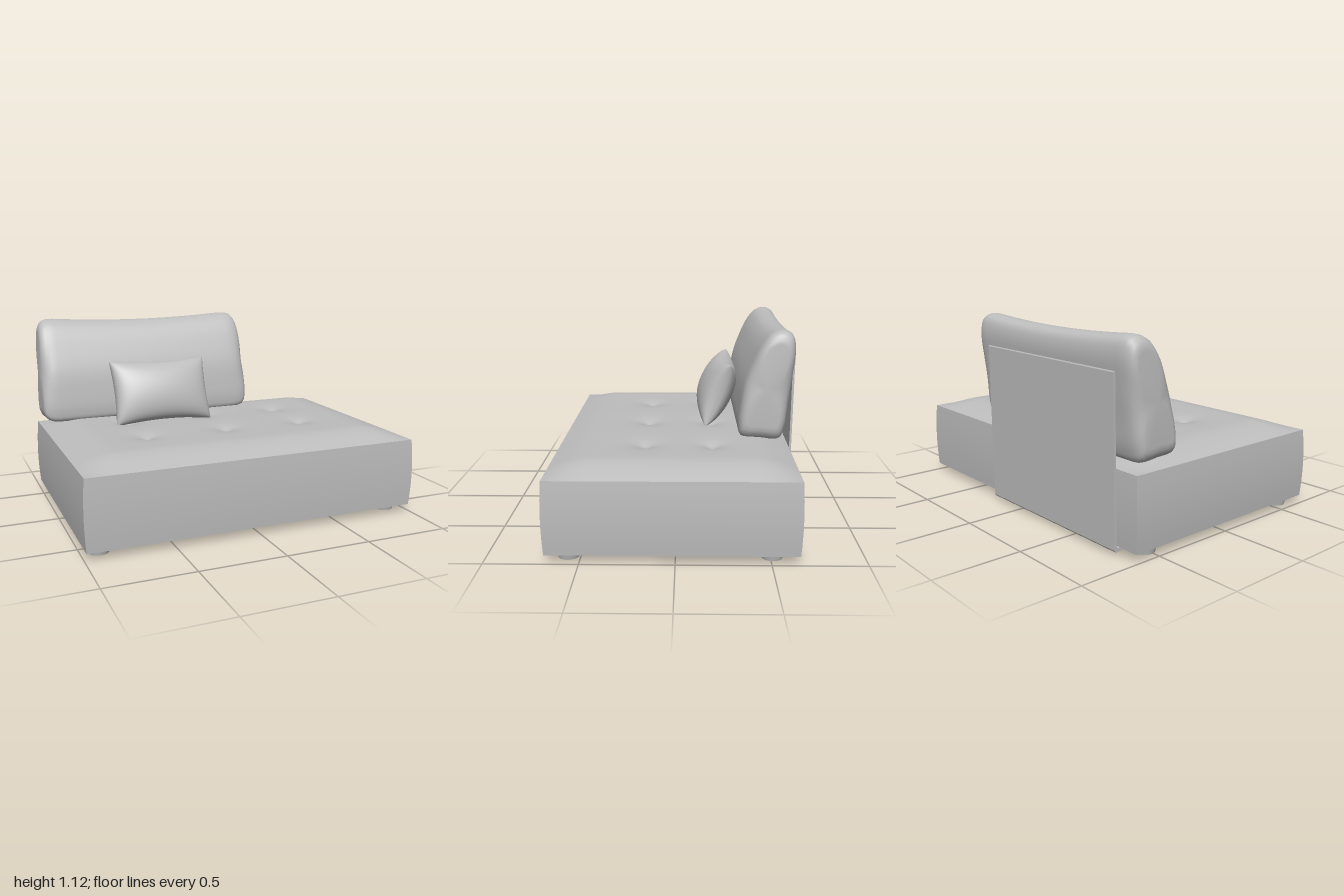
import * as THREE from 'three';
import { mergeGeometries } from 'three/addons/utils/BufferGeometryUtils.js';

const fabric = new THREE.MeshStandardMaterial({ color: 0xbdbdbd });
fabric.name = 'grey fabric';

function part(name, geometry) {
  const mesh = new THREE.Mesh(geometry, fabric);
  mesh.name = name;
  return mesh;
}

// Move every vertex of a geometry by a rule
function reshape(geometry, rule) {
  const p = geometry.attributes.position;
  const v = new THREE.Vector3();
  for (let i = 0; i < p.count; i++) {
    rule(v.fromBufferAttribute(p, i));
    p.setXYZ(i, v.x, v.y, v.z);
  }
  geometry.computeVertexNormals();
  return geometry;
}

// Tufted seat block: slightly bulging sides, domed top with button dimples
function seatGeometry() {
  const tufts = [];
  for (const x of [-0.5, 0, 0.5]) for (const z of [-0.2, 0.18]) tufts.push([x, z]);
  const rise = (d) => Math.sin(Math.min(d / 0.24, 1) * Math.PI / 2);
  return reshape(new THREE.BoxGeometry(2, 2, 2, 100, 8, 70), (v) => {
    const top = v.y > 0.999;
    const bulge = 0.99 + 0.01 * (1 - v.y * v.y);
    const x = v.x * bulge;
    const z = 0.017 + v.z * 0.672 * bulge;
    let y = 0.2475 + v.y * 0.2025;
    if (top) {
      y += 0.058 * rise(1 - Math.abs(v.x)) * rise((1 - Math.abs(v.z)) * 0.67);
      for (const [tx, tz] of tufts) y -= 0.042 * Math.exp(-Math.hypot(x - tx, z - tz) / 0.06);
    }
    v.set(x, y, z);
  });
}

// Back cushion: side profile lofted along x, rounded in at both ends
function backCushionGeometry() {
  const profile = [
    [-0.37, 0.505], [-0.357, 0.56], [-0.367, 0.68], [-0.39, 0.81], [-0.432, 0.93],
    [-0.49, 1.05], [-0.545, 1.112], [-0.61, 1.13], [-0.66, 1.105], [-0.68, 1.03],
    [-0.668, 0.88], [-0.645, 0.7], [-0.624, 0.55], [-0.595, 0.49], [-0.48, 0.49],
  ];
  const curve = new THREE.CatmullRomCurve3(profile.map(([z, y]) => new THREE.Vector3(0, y, z)), true);
  const N = 72;
  const ring = curve.getPoints(N).slice(0, N);
  const centre = new THREE.Vector3(0, 0.79, -0.51);
  const end = [[0, 0.085], [0.004, 0.058], [0.014, 0.034], [0.032, 0.015], [0.06, 0.004], [0.1, 0]];
  const x0 = -0.99, x1 = 0.388;
  const sections = end.map(([d, inset]) => [x0 + d, inset]);
  for (let i = 1; i < 16; i++) sections.push([x0 + 0.1 + (x1 - x0 - 0.2) * i / 16, 0]);
  for (const [d, inset] of [...end].reverse()) sections.push([x1 - d, inset]);

  const pos = [], index = [];
  for (const [x, inset] of sections) {
    const u = (x - (x0 + x1) / 2) / ((x1 - x0) / 2);
    for (const p of ring) {
      const q = p.clone().lerp(centre, inset / p.distanceTo(centre));
      const h = Math.max(0, (q.y - 0.5) / 0.63);
      const sag = 0.03 * (1 - u * u) * h * h;
      pos.push(x - u * 0.017 * h * h, q.y - sag, q.z);
    }
  }
  const last = sections.length - 1;
  for (let i = 0; i < last; i++) {
    for (let j = 0; j < N; j++) {
      const k = (j + 1) % N;
      const a = i * N + j, b = a + N, c = (i + 1) * N + k, d = i * N + k;
      index.push(a, b, c, a, c, d);
    }
  }
  // End caps
  const cap = pos.length / 3;
  pos.push(x0 - 0.002, centre.y, centre.z, x1 + 0.002, centre.y, centre.z);
  for (let j = 0; j < N; j++) {
    const k = (j + 1) % N;
    index.push(cap, j, k, cap + 1, last * N + k, last * N + j);
  }
  const g = new THREE.BufferGeometry();
  g.setAttribute('position', new THREE.Float32BufferAttribute(pos, 3));
  g.setIndex(index);
  g.computeVertexNormals();
  return g;
}

// Throw pillow: two puffed faces meeting at a seam, with pinched sides
function pillowGeometry() {
  const face = reshape(new THREE.PlaneGeometry(2, 2, 36, 30), (v) => {
    const a = v.x * Math.PI / 2, b = v.y * Math.PI / 2;
    const u = Math.sin(a), w = Math.sin(b);
    const puff = Math.pow(Math.max(0, Math.cos(a)), 0.7) * Math.pow(Math.max(0, Math.cos(b)), 0.85);
    v.set(0.313 * u * (1 - 0.05 * (1 - w * w)), 0.205 * w * (1 - 0.1 * (1 - u * u)), 0.112 * puff);
  });
  return mergeGeometries([face, face.clone().rotateY(Math.PI)]);
}

// Back panel with a short lip hooked under the seat
function panelGeometry() {
  const outline = [
    [-0.61, 0.022], [-0.61, 0.04], [-0.658, 0.04], [-0.664, 0.06], [-0.674, 0.94],
    [-0.678, 0.945], [-0.684, 0.945], [-0.687, 0.94], [-0.676, 0.03], [-0.668, 0.02],
  ];
  const shape = new THREE.Shape(outline.map(([z, y]) => new THREE.Vector2(z, y)));
  const g = new THREE.ExtrudeGeometry(shape, { depth: 1.105, bevelEnabled: false });
  return g.rotateY(-Math.PI / 2).translate(0.245, 0, 0);
}

export function createModel() {
  const model = new THREE.Group();
  model.name = 'loungeSeat';
  model.add(part('seat', seatGeometry()));
  model.add(part('backCushion', backCushionGeometry()));

  const pillow = part('throwPillow', pillowGeometry());
  pillow.position.set(-0.272, 0.675, -0.247);
  pillow.rotation.x = -0.38;
  model.add(pillow);

  model.add(part('backPanel', panelGeometry()));

  // Tapered feet
  const footGeometry = new THREE.CylinderGeometry(0.067, 0.056, 0.05, 32);
  for (const x of [-0.9, 0.89]) {
    for (const z of [-0.51, 0.565]) {
      const foot = part('foot', footGeometry);
      foot.position.set(x, 0.025, z);
      model.add(foot);
    }
  }
  return model;
}
